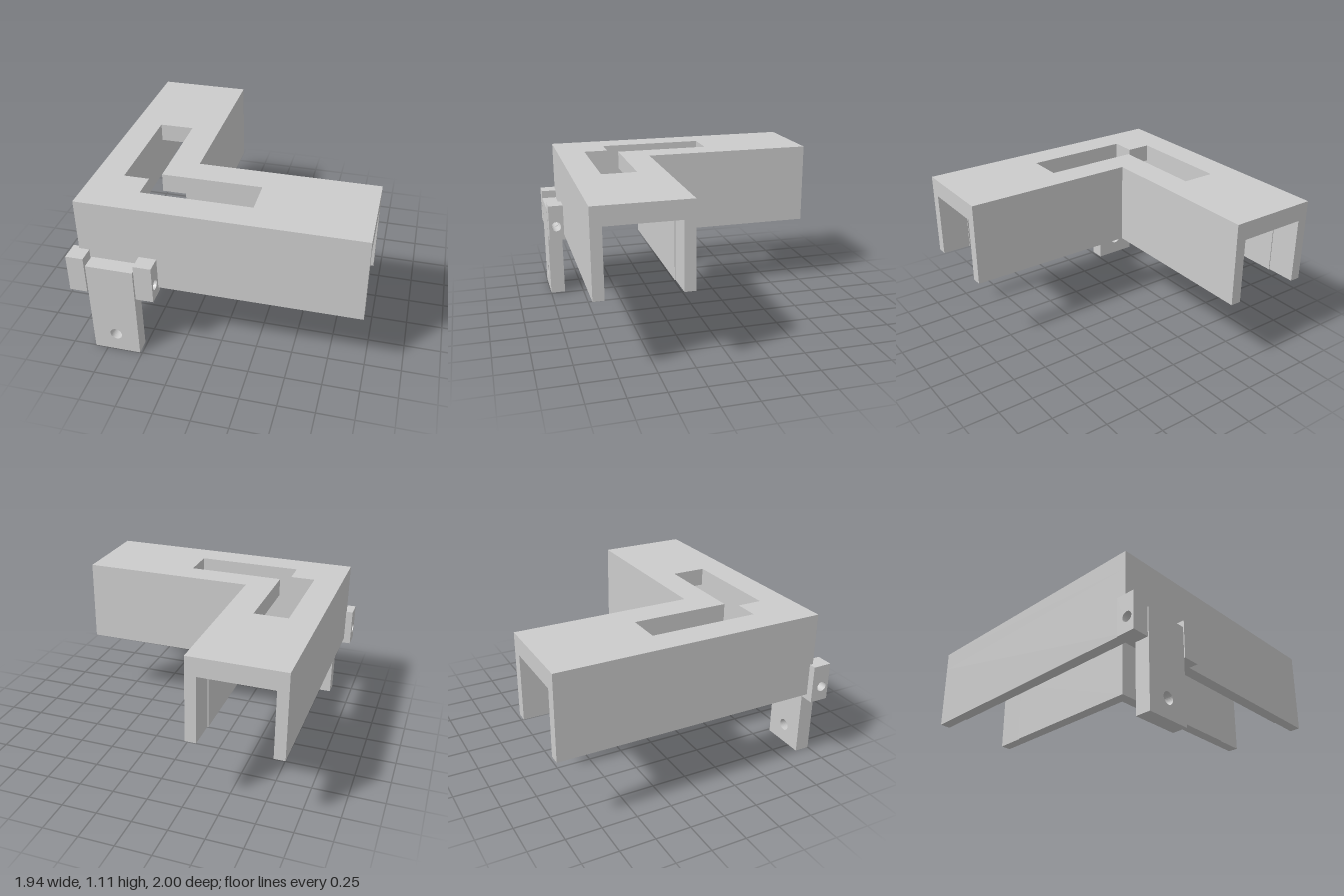
import * as THREE from 'three';

const grey = new THREE.MeshStandardMaterial({ color: 0xcccccc });
grey.name = 'plain grey';

function add(group, name, geometry) {
  const mesh = new THREE.Mesh(geometry, grey);
  mesh.name = name;
  group.add(mesh);
  return mesh;
}

function shapeOf(points) {
  return new THREE.Shape(points.map(([x, y]) => new THREE.Vector2(x, y)));
}

function roundHole(shape, x, y, radius) {
  const hole = new THREE.Path();
  hole.absarc(x, y, radius, 0, Math.PI * 2, true);
  shape.holes.push(hole);
}

function extrude(shape, depth) {
  return new THREE.ExtrudeGeometry(shape, { depth, bevelEnabled: false, curveSegments: 16 });
}

// Upright prism from a floor plan given as [x, z] points
function prism(plan, y0, y1, opening) {
  const flip = (pts) => pts.map(([x, z]) => [x, -z]);
  const shape = shapeOf(flip(plan));
  if (opening) shape.holes.push(shapeOf(flip(opening)));
  return extrude(shape, y1 - y0).rotateX(-Math.PI / 2).translate(0, y0, 0);
}

// Block drilled sideways, from a rectangle in z and y swept along x
function drilledBlock(x0, x1, y0, y1, z0, z1) {
  const shape = shapeOf([[-z1, y0], [-z0, y0], [-z0, y1], [-z1, y1]]);
  roundHole(shape, -0.946, 0.582, 0.036);
  return extrude(shape, x1 - x0).rotateY(Math.PI / 2).translate(x0, 0, 0);
}

export function createModel() {
  const model = new THREE.Group();
  model.name = 'cornerChannel';
  const bottom = 0.516, ceiling = 0.982, top = 1.11;

  // Roof of the L-shaped channel with its angled slot (outline runs counterclockwise from above)
  const outline = [[-0.92, 0.89], [0.97, 0.89], [0.97, 0.243], [-0.273, 0.243], [-0.273, -1], [-0.92, -1]];
  const slot = [[-0.718, -0.248], [-0.477, -0.248], [-0.477, 0.44], [0.21, 0.44],
    [0.21, 0.688], [-0.543, 0.688], [-0.543, 0.513], [-0.718, 0.513]];
  add(model, 'roof', prism(outline, ceiling, top, slot));

  // Side walls, slightly thinner near the two open mouths
  add(model, 'outerWall', prism([
    [-0.92, -1], [-0.846, -1], [-0.846, -0.79], [-0.84, -0.79], [-0.84, 0.81],
    [0.76, 0.81], [0.76, 0.816], [0.97, 0.816], [0.97, 0.89], [-0.92, 0.89],
  ], bottom, ceiling));
  add(model, 'innerWall', prism([
    [-0.273, -1], [-0.273, 0.243], [0.97, 0.243], [0.97, 0.319], [0.76, 0.319],
    [0.76, 0.325], [-0.355, 0.325], [-0.355, -0.79], [-0.349, -0.79], [-0.349, -1],
  ], bottom, ceiling));

  // Hinge lugs on either side of the tab
  for (const [name, x] of [['rightLug', -0.97], ['leftLug', -0.507]]) {
    add(model, name, drilledBlock(x, x + 0.121, 0.477, 0.745, 0.866, 1));
  }

  // Hanging tab: knuckle above, drilled plate below
  const tab = new THREE.Group();
  tab.name = 'hangingTab';
  add(tab, 'tabKnuckle', drilledBlock(-0.84, -0.516, 0.477, 0.69, 0.893, 1));
  const plate = shapeOf([[-0.84, 0], [-0.516, 0], [-0.516, 0.477], [-0.84, 0.477]]);
  roundHole(plate, -0.678, 0.137, 0.042);
  add(tab, 'tabPlate', extrude(plate, 0.107).translate(0, 0, 0.893));
  model.add(tab);

  return model;
}
